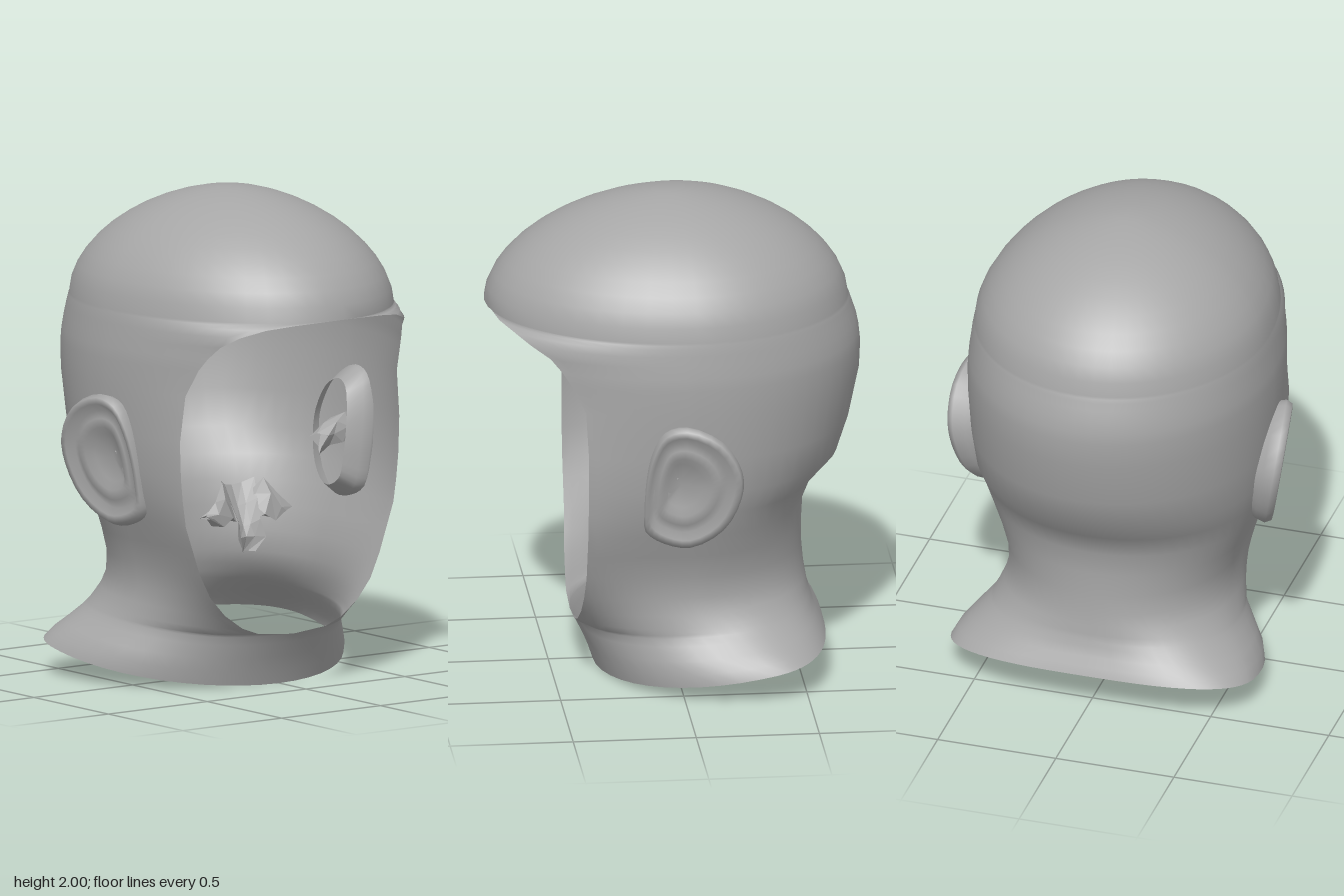
import * as THREE from 'three';
import { mergeVertices } from 'three/addons/utils/BufferGeometryUtils.js';

const clay = new THREE.MeshStandardMaterial({ color: 0xa6a6a6, side: THREE.DoubleSide });
clay.name = 'plain grey';

const V = (x, y, z) => new THREE.Vector3(x, y, z);
const mirror = rows => rows.map(r => r.map(p => V(-p.x, p.y, p.z)).reverse());

// Smooth surface through rows holding equal numbers of points
function skin(name, rows, flat = false) {
  const n = rows[0].length, index = [];
  for (let j = 0; j < rows.length - 1; j++) {
    for (let i = 0; i < n - 1; i++) {
      const a = j * n + i, c = a + n;
      index.push(a, a + 1, c, a + 1, c + 1, c);
    }
  }
  let geo = new THREE.BufferGeometry().setFromPoints(rows.flat());
  geo.setIndex(index);
  geo = mergeVertices(geo, 1e-4);
  if (flat) geo = geo.toNonIndexed();
  geo.computeVertexNormals();
  const mesh = new THREE.Mesh(geo, clay);
  mesh.name = name;
  return mesh;
}

// Head levels: height, half width, back depth, front edge z, half width of face opening
const levels = [
  [0, 0.64, 0.61, 0.32, 0], [0.06, 0.62, 0.595, 0.34, 0], [0.12, 0.58, 0.575, 0.365, 0],
  [0.18, 0.535, 0.56, 0.395, 0], [0.215, 0.515, 0.555, 0.412, 0], [0.23, 0.508, 0.55, 0.41, 0.17],
  [0.26, 0.497, 0.547, 0.405, 0.25], [0.32, 0.478, 0.54, 0.4, 0.335], [0.4, 0.466, 0.532, 0.395, 0.405],
  [0.5, 0.475, 0.525, 0.39, 0.455], [0.6, 0.507, 0.525, 0.39, 0.49], [0.7, 0.547, 0.53, 0.39, 0.525],
  [0.8, 0.58, 0.57, 0.39, 0.54], [0.9, 0.602, 0.67, 0.39, 0.55], [1.05, 0.62, 0.72, 0.39, 0.555],
  [1.24, 0.63, 0.76, 0.4, 0.535], [1.35, 0.63, 0.765, 0.455, 0.51], [1.4, 0.627, 0.76, 0.49, 0.49],
  [1.45, 0.62, 0.75, 0.535, 0.46], [1.495, 0.615, 0.735, 0.61, 0.415], [1.525, 0.61, 0.725, 0.67, 0.33],
  [1.54, 0.607, 0.72, 0.72, 0.22], [1.55, 0.605, 0.715, 0.76, 0],
];

// One level, from the face opening round the back to the other side
function headRow([h, w, back, edgeZ, edgeX]) {
  const zw = -0.05 - 0.25 * Math.max(0, 1 - h / 0.35);   // z of widest point
  const tilt = Math.max(0, 1 - h / 0.45);                // neck base rises to the back
  const t0 = Math.asin(Math.min(0.98, edgeX / w));
  const reach = (edgeZ - zw) / Math.cos(t0);
  const side = [];
  const add = (x, z) => side.push(V(x, h + tilt * 0.165 * Math.max(0, (0.32 - z) / 0.93), z));
  for (let i = 0; i <= 12; i++) {
    const t = t0 + (Math.PI / 2 - t0) * i / 12;
    add(w * Math.sin(t), zw + reach * Math.cos(t));
  }
  const p = 1 - 0.3 * tilt;
  for (let i = 1; i <= 14; i++) {
    const t = Math.PI / 2 * i / 14;
    add(i === 14 ? 0 : w * Math.cos(t) ** p, zw - (back + zw) * Math.sin(t) ** p);
  }
  return side.concat(mirror([side])[0].slice(1));
}

function headRows() {
  const rows = levels.map(headRow), brow = rows[rows.length - 1];
  // Domed crown
  for (let j = 1; j <= 12; j++) {
    const u = Math.sin(Math.PI / 2 * j / 12);
    const f = j === 12 ? 0 : (1 - u ** 1.8) ** (1 / 1.8);
    rows.push(brow.map(p => V(p.x * f, 1.55 + 0.45 * u, p.z * f)));
  }
  return rows;
}

// Ear: an outline of [z, y] shrunk in rings over rim, groove, fold and hollow
function earRows() {
  const outline = new THREE.CatmullRomCurve3([
    [0, 1.21], [0.09, 1.18], [0.14, 1.08], [0.165, 0.95], [0.17, 0.83], [0.16, 0.73],
    [0.09, 0.68], [-0.02, 0.665], [-0.15, 0.75], [-0.22, 0.9], [-0.22, 1.02], [-0.14, 1.15],
  ].map(([z, y]) => V(0, y, z)), true).getPoints(36);
  const rings = [[0.78, -0.1], [0.95, -0.03], [1, 0.015], [0.95, 0.042], [0.85, 0.045], [0.74, 0.022],
    [0.62, 0.035], [0.48, 0.038], [0.36, 0.015], [0, 0.008]];
  return rings.map(([s, h]) => outline.map(p => {
    const y = 0.95 + (p.y - 0.95) * s, z = 0.02 + (p.z - 0.02) * s;
    return V(0.605 - 0.22 * z + 0.16 * (y - 0.94) + h, y, z);
  }));
}

// Crumpled tube along stations of [x, y, z, height radius, depth radius, twist]
function tubeRows(stations, sides = 6) {
  return stations.map(([x, y, z, ry, rz, twist]) =>
    Array.from({ length: sides + 1 }, (_, i) => {
      const a = twist + (i % sides) / sides * Math.PI * 2;
      const r = i % 2 ? 0.75 : 1;
      return V(x + 0.02 * Math.sin(2 * a), y + ry * r * Math.cos(a), z + rz * r * Math.sin(a));
    }));
}

export function createModel() {
  const model = new THREE.Group();
  model.name = 'openFacedHead';
  model.add(skin('headShell', headRows()));

  const pair = (name, rows, flat) => model.add(
    skin('left' + name, rows, flat), skin('right' + name, mirror(rows), flat));

  pair('Ear', earRows());

  // Folded ear canals inside the head
  pair('EarCanal', tubeRows([
    [0.6, 0.95, 0, 0.06, 0.06, 0], [0.54, 0.95, 0.01, 0.07, 0.07, 0.3],
    [0.48, 0.94, 0.02, 0.055, 0.05, 0.6], [0.42, 0.905, 0.03, 0.05, 0.05, 0.9],
  ]), true);

  // Nostril passages spreading from the middle
  pair('NostrilPassage', tubeRows([
    [0.2, 0.67, 0.1, 0.012, 0.03, 0], [0.15, 0.67, 0.09, 0.06, 0.05, 0.3],
    [0.1, 0.71, 0.07, 0.09, 0.06, 0.1], [0.055, 0.68, 0.05, 0.06, 0.05, 0.4],
  ]), true);

  // Cupped nasal floor with a tongue hanging below it
  const floor = [[0.8, 0.085, 0], [0.72, 0.07, 0.04], [0.64, 0.055, 0.08], [0.57, 0.07, 0.1], [0.51, 0.03, 0.08]];
  model.add(skin('nasalFloor', floor.map(([y, w, z]) =>
    [-1, -0.5, 0, 0.5, 1].map(t => V(w * t, y - 0.03 * (1 - t * t) * (y > 0.6 ? 1 : 0), z + 0.04 * t * t))), true));

  return model;
}
